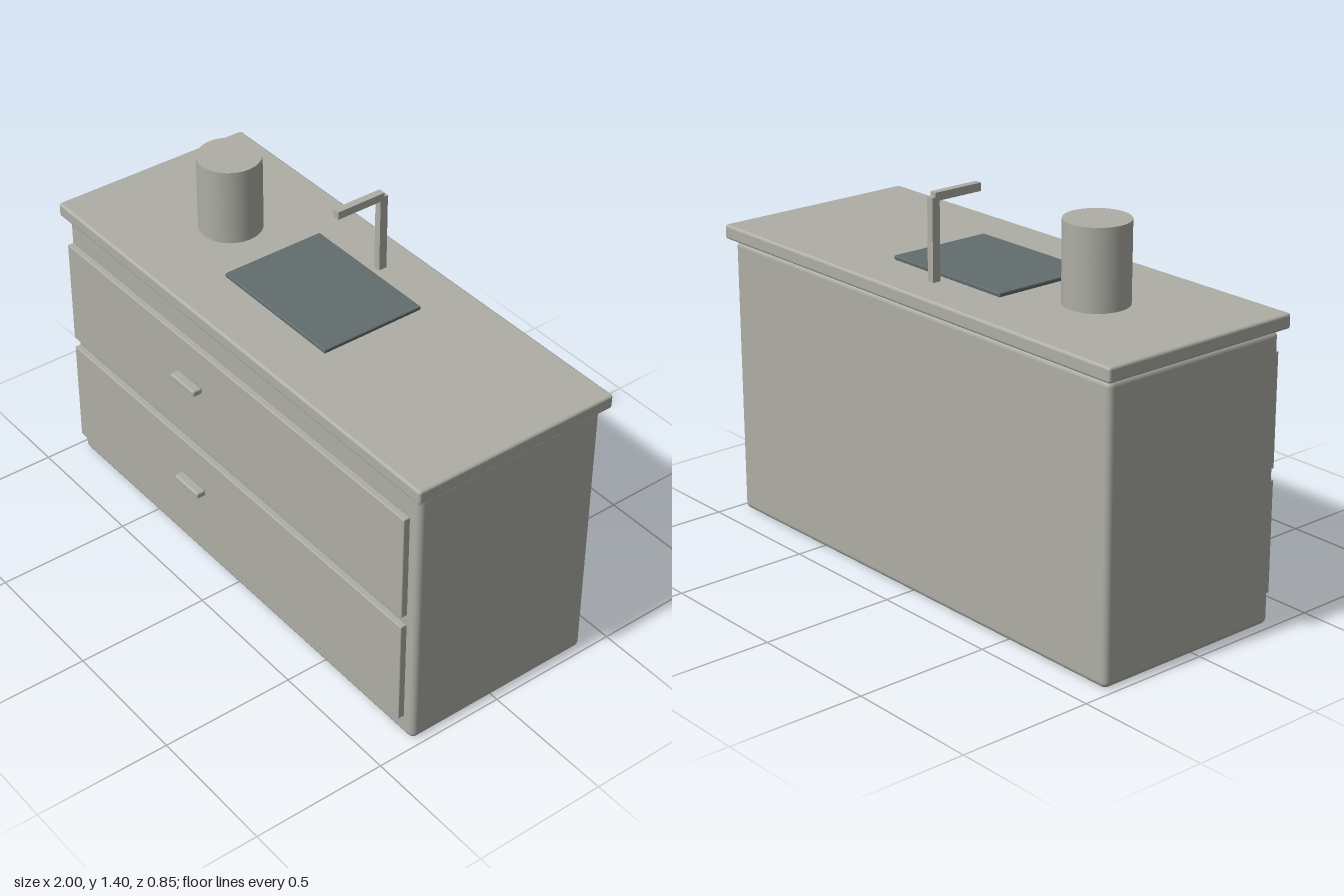
import * as THREE from 'three';
import { RoundedBoxGeometry } from 'three/addons/geometries/RoundedBoxGeometry.js';

export function createModel() {
  const model = new THREE.Group();
  model.name = 'vanityUnit';

  const stone = new THREE.MeshStandardMaterial({ color: 0xaeaea6 });
  stone.name = 'warm grey';
  const slate = new THREE.MeshStandardMaterial({ color: 0x626d6d });
  slate.name = 'dark slate';

  const add = (name, geometry, material, x, y, z) => {
    const mesh = new THREE.Mesh(geometry, material);
    mesh.name = name;
    mesh.position.set(x, y, z);
    model.add(mesh);
  };

  // Box given by its limits on each axis; a radius rounds its edges
  const block = (name, [x0, x1], [y0, y1], [z0, z1], radius = 0, material = stone) => {
    const size = [x1 - x0, y1 - y0, z1 - z0];
    const geometry = radius
      ? new RoundedBoxGeometry(...size, 3, radius)
      : new THREE.BoxGeometry(...size);
    add(name, geometry, material, (x0 + x1) / 2, (y0 + y1) / 2, (z0 + z1) / 2);
  };

  // Cabinet and overhanging worktop
  block('cabinet', [-0.975, 0.975], [0, 1.035], [-0.398, 0.348], 0.022);
  block('countertop', [-1, 1], [1.04, 1.093], [-0.423, 0.372], 0.01);

  // Two drawers, each with an off-centre bar handle
  for (const [label, bottom, handleY] of [['lower', 0.092, 0.355], ['upper', 0.54, 0.802]]) {
    block(`${label}Drawer`, [-0.945, 0.94], [bottom, bottom + 0.408], [0.354, 0.38], 0.004);
    block(`${label}Handle`, [-0.256, -0.12], [handleY - 0.012, handleY + 0.012], [0.387, 0.425], 0.007);
  }

  // Sink panel
  block('sink', [-0.276, 0.274], [1.093, 1.108], [-0.23, 0.172], 0.004, slate);

  // Tap: upright and spout
  block('tapUpright', [-0.015, 0.012], [1.09, 1.384], [-0.295, -0.264]);
  block('tapSpout', [-0.015, 0.012], [1.37, 1.399], [-0.281, -0.086]);

  // Round canister
  add('canister', new THREE.CylinderGeometry(0.114, 0.114, 0.285, 48), stone, -0.518, 1.235, -0.028);

  return model;
}
